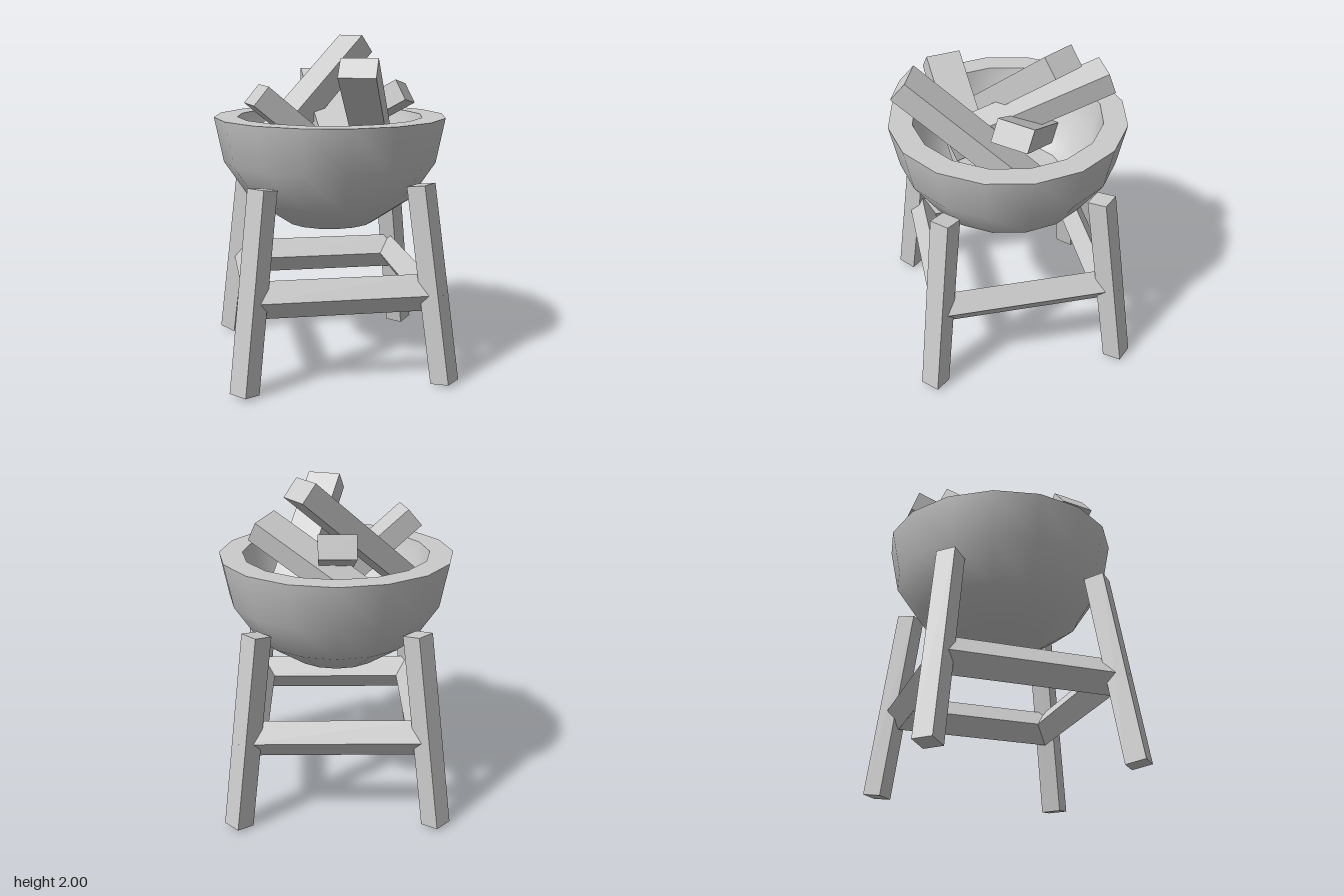
import * as THREE from 'three';

const material = new THREE.MeshStandardMaterial({ color: 0xcccccc });
const flat = new THREE.MeshStandardMaterial({ color: 0xcccccc, flatShading: true });
const open = new THREE.MeshStandardMaterial({ color: 0xcccccc, side: THREE.DoubleSide });

const RIM_Y = 1.525, OUTER = 0.7, INNER = 0.56;

function add(parent, name, geometry, mat = material) {
  const mesh = new THREE.Mesh(geometry, mat);
  mesh.name = name;
  parent.add(mesh);
  return mesh;
}

// Quarter circle from the bottom pole up to the rim
function bowlProfile(radius) {
  return Array.from({ length: 5 }, (_, i) => {
    const a = (i / 4) * Math.PI / 2;
    return new THREE.Vector2(radius * Math.sin(a), RIM_Y - radius * Math.cos(a));
  });
}

// Log given by the middle of its raised end, its direction and its width direction
function addLog(parent, end, direction, across) {
  const d = new THREE.Vector3(...direction).normalize();
  const up = d.clone().cross(new THREE.Vector3(...across)).normalize();
  const w = up.clone().cross(d);
  const log = add(parent, 'log', new THREE.BoxGeometry(0.21, 0.135, 1));
  log.quaternion.setFromRotationMatrix(new THREE.Matrix4().makeBasis(w, up, d));
  log.position.set(...end).addScaledVector(d, -0.5);
}

export function createModel() {
  const model = new THREE.Group();
  model.name = 'firePit';

  // Thick half-sphere bowl with a flat rim
  const bowl = new THREE.Group();
  bowl.name = 'bowl';
  model.add(bowl);
  add(bowl, 'bowlOutside', new THREE.LatheGeometry(bowlProfile(OUTER), 16), open);
  add(bowl, 'bowlInside', new THREE.LatheGeometry(bowlProfile(INNER).reverse(), 16), open);
  add(bowl, 'bowlRim', new THREE.LatheGeometry(
    [new THREE.Vector2(OUTER, RIM_Y), new THREE.Vector2(INNER, RIM_Y)], 16), open);

  // Ash bed at the bottom of the bowl
  add(model, 'ashBed', new THREE.CylinderGeometry(0.355, 0.3, 0.05, 16), flat)
    .position.y = 1.07;

  // Four legs leaning inwards along the diagonals
  for (let i = 0; i < 4; i++) {
    const corner = new THREE.Group();
    corner.name = 'legCorner';
    corner.rotation.y = Math.PI / 4 + i * Math.PI / 2;
    const leg = add(corner, 'leg', new THREE.BoxGeometry(0.12, 1.17, 0.12));
    leg.position.set(0.736, 0.588, 0);
    leg.rotation.z = THREE.MathUtils.degToRad(9);
    model.add(corner);
  }

  // Square stretcher frame with a diamond section and mitred corners
  const frame = new THREE.TorusGeometry(0.695, 0.112, 4, 4);
  frame.rotateX(Math.PI / 2).rotateY(Math.PI / 4);
  add(model, 'stretcherFrame', frame, flat).position.y = 0.533;

  // Stacked logs
  const logs = new THREE.Group();
  logs.name = 'logs';
  model.add(logs);
  addLog(logs, [0, 1.715, -0.593], [0, 0.342, -0.94], [1, 0, 0]);
  addLog(logs, [0.055, 1.84, 0.604], [-0.268, 0.643, 0.717], [0.936, 0, 0.35]);
  addLog(logs, [0.206, 1.948, -0.265], [0.651, 0.643, -0.406], [0.53, 0, 0.85]);
  addLog(logs, [-0.47, 1.68, 0.315], [-0.751, 0.643, 0.146], [0.19, 0, 0.98]);
  addLog(logs, [0.449, 1.67, 0.07], [0.792, 0.492, 0.361], [0.49, -0.167, -0.848]);

  return model;
}
